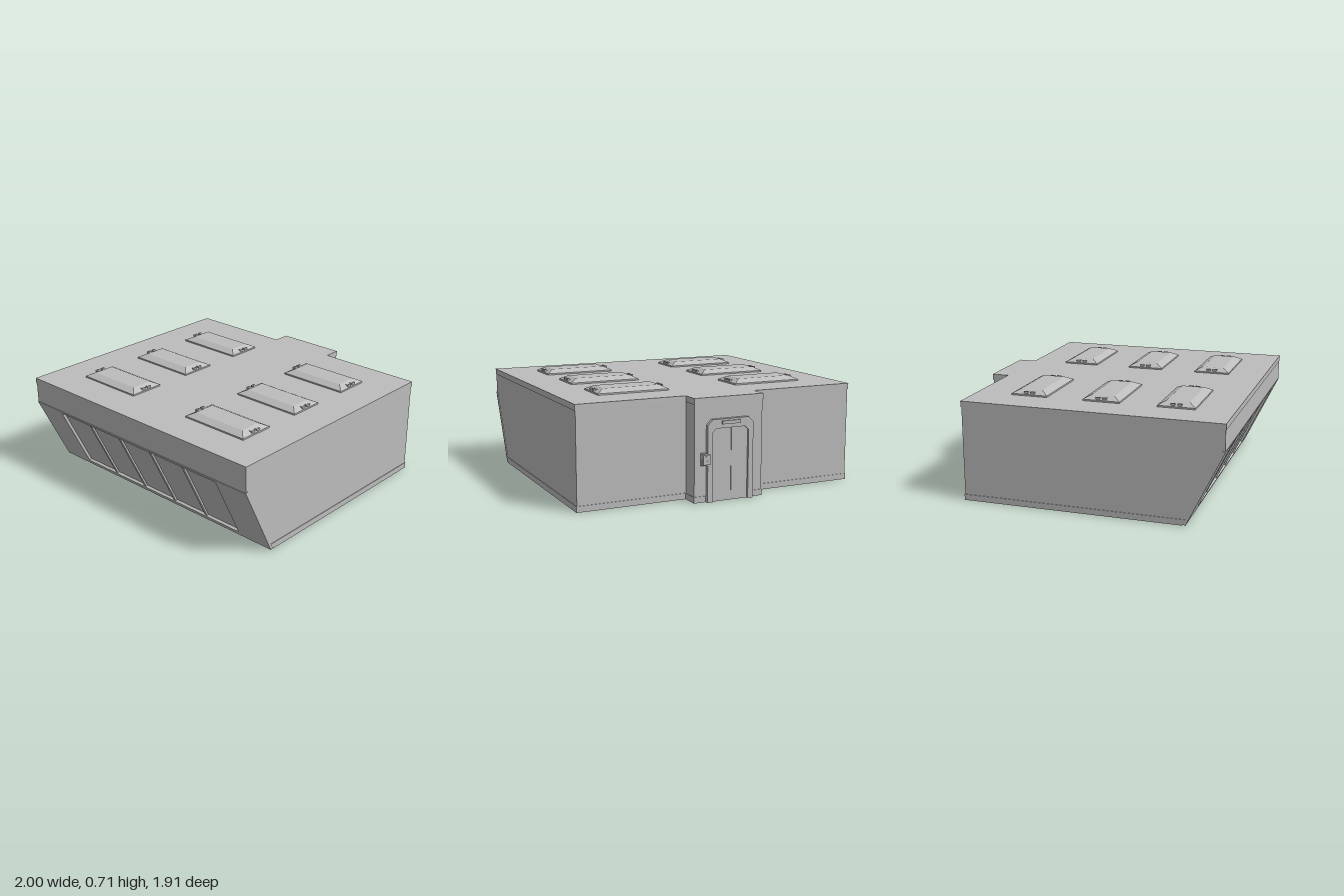
import * as THREE from 'three';

export function createModel() {
  const grey = new THREE.MeshStandardMaterial({ color: 0xbcbcbc });
  grey.name = 'wallGrey';
  const model = new THREE.Group();
  model.name = 'building';

  const add = (parent, name, geometry, x = 0, y = 0, z = 0) => {
    const mesh = new THREE.Mesh(geometry, grey);
    mesh.name = name;
    mesh.position.set(x, y, z);
    parent.add(mesh);
    return mesh;
  };
  const box = (parent, name, w, h, d, x, y, z) =>
    add(parent, name, new THREE.BoxGeometry(w, h, d), x, y, z);
  const outline = (points) => new THREE.Shape(points.map(([x, y]) => new THREE.Vector2(x, y)));
  const extrude = (shape, depth) =>
    new THREE.ExtrudeGeometry(shape, { depth, bevelEnabled: false });
  // Extrude a [z, y] profile across the width
  const sideProfile = (name, points, width) =>
    add(model, name, extrude(outline(points), width).translate(0, 0, -width / 2).rotateY(-Math.PI / 2));

  // Walls, set back slightly between the floor and roof slabs
  sideProfile('walls', [[-0.796, 0.01], [0.693, 0.01], [0.928, 0.5], [0.947, 0.5], [0.947, 0.66], [-0.796, 0.66]], 1.992);
  box(model, 'entranceWalls', 0.492, 0.65, 0.216, 0, 0.335, -0.808);

  // Floor slab
  sideProfile('floorSlab', [[-0.8, 0], [0.688, 0], [0.706, 0.04], [-0.8, 0.04]], 2);
  box(model, 'entranceFloor', 0.5, 0.04, 0.12, 0, 0.02, -0.86);

  // Roof slab with the entrance projection
  const plan = outline([[-1, -0.95], [1, -0.95], [1, 0.8], [0.25, 0.8], [0.25, 0.92], [-0.25, 0.92], [-0.25, 0.8], [-1, 0.8]]);
  add(model, 'roofSlab', extrude(plan, 0.04).rotateX(-Math.PI / 2), 0, 0.64, 0);

  // Sloping front with a recessed window
  const front = new THREE.Group();
  front.name = 'slopingFront';
  front.position.set(0, 0, 0.71);
  front.rotation.x = Math.atan2(0.24, 0.5);
  model.add(front);
  const slope = Math.hypot(0.24, 0.5);
  const face = outline([[-1, 0], [1, 0], [1, slope], [-1, slope]]);
  face.holes.push(outline([[-0.74, 0.033], [-0.74, 0.533], [0.74, 0.533], [0.74, 0.033]]));
  add(front, 'windowWall', extrude(face, 0.02), 0, 0, -0.02);
  for (const x of [-0.444, -0.148, 0.148, 0.444]) {
    box(front, 'mullion', 0.02, 0.5, 0.014, x, 0.283, -0.014);
  }

  // Tapered dome: a box whose top corners move inwards
  const domeGeometry = new THREE.BoxGeometry(0.5, 0.025, 0.25).toNonIndexed();
  const pos = domeGeometry.attributes.position;
  for (let i = 0; i < pos.count; i++) {
    if (pos.getY(i) > 0) {
      pos.setX(i, Math.sign(pos.getX(i)) * 0.2);
      pos.setZ(i, Math.sign(pos.getZ(i)) * 0.075);
    }
  }
  domeGeometry.computeVertexNormals();

  // Six skylights with hinges at both ends
  for (const x of [-0.5, 0.5]) {
    for (const z of [-0.425, 0.075, 0.575]) {
      const skylight = new THREE.Group();
      skylight.name = 'skylight';
      skylight.position.set(x, 0.68, z);
      model.add(skylight);
      box(skylight, 'skylightRim', 0.5, 0.01, 0.25, 0, 0.005, 0);
      add(skylight, 'skylightDome', domeGeometry, 0, 0.0225, 0);
      for (const end of [-1, 1]) {
        for (const side of [-1, 1]) {
          box(skylight, 'hinge', 0.035, 0.012, 0.024, end * 0.229, 0.02, side * 0.023);
          box(skylight, 'hingePin', 0.012, 0.01, 0.03, end * 0.241, 0.024, side * 0.023);
        }
      }
    }
  }

  // Sliding door on the back of the entrance
  const door = new THREE.Group();
  door.name = 'door';
  door.position.set(0, 0, -0.92);
  door.rotation.y = Math.PI;
  model.add(door);
  const frame = outline([[-0.165, 0], [-0.13, 0], [-0.13, 0.455], [-0.105, 0.48], [0.105, 0.48], [0.13, 0.455],
    [0.13, 0], [0.165, 0], [0.165, 0.505], [0.13, 0.54], [-0.13, 0.54], [-0.165, 0.505]]);
  add(door, 'doorFrame', extrude(frame, 0.025));
  for (const side of [-1, 1]) {
    box(door, 'doorPanel', 0.118, 0.48, 0.01, side * 0.071, 0.24, 0.005);
  }
  box(door, 'doorSeam', 0.024, 0.48, 0.006, 0, 0.24, 0.003);
  box(door, 'doorLamp', 0.13, 0.022, 0.012, 0, 0.517, 0.029);
  box(door, 'keypadPlate', 0.06, 0.08, 0.025, -0.175, 0.285, 0.0125);
  box(door, 'keypad', 0.05, 0.065, 0.01, -0.177, 0.285, 0.03);
  for (const y of [0.27, 0.3]) {
    box(door, 'keypadButton', 0.03, 0.016, 0.004, -0.177, y, 0.036);
  }
  return model;
}
